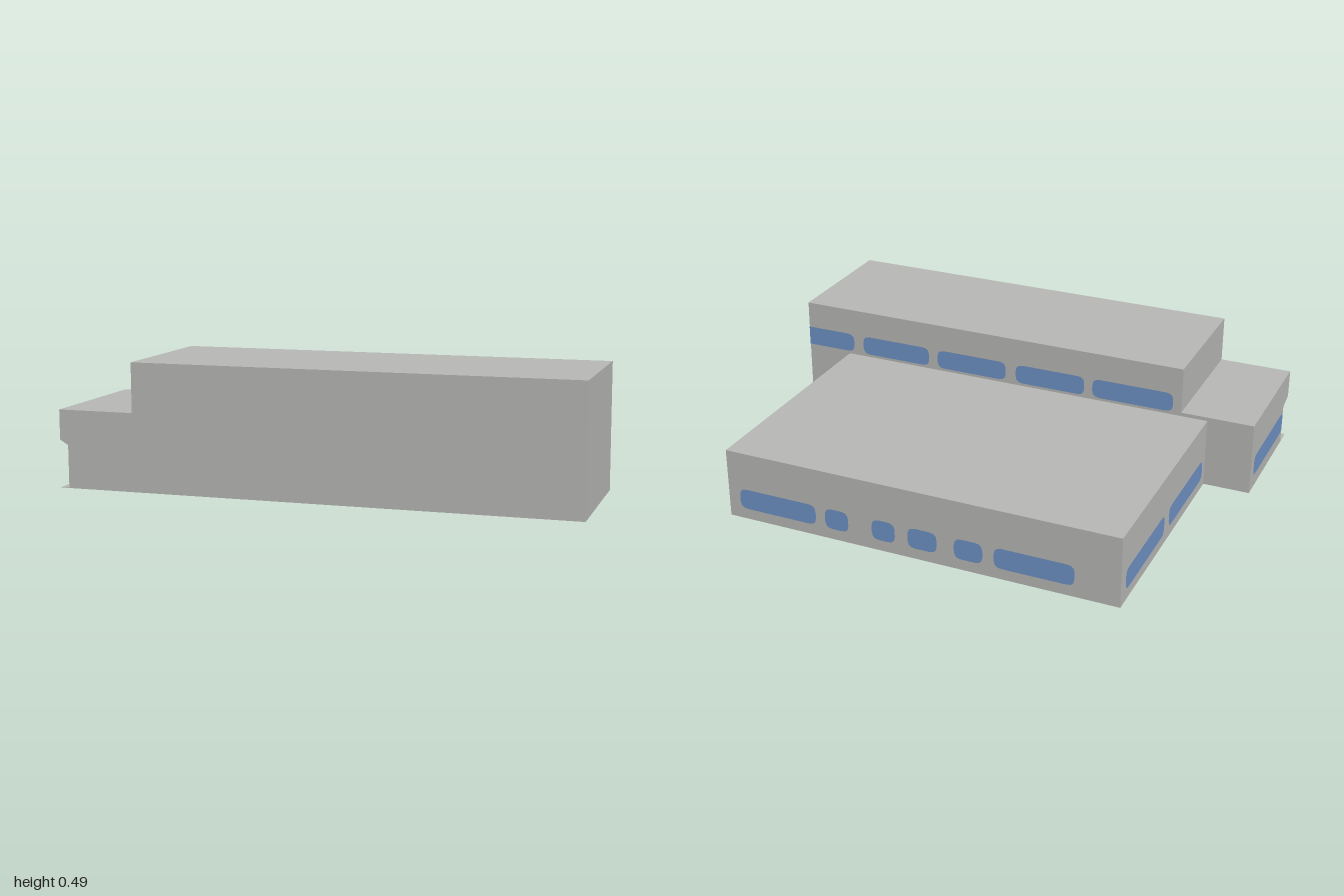
import * as THREE from 'three';
import { ConvexGeometry } from 'three/addons/geometries/ConvexGeometry.js';

const wall = new THREE.MeshStandardMaterial({ color: 0xb8b8b6 });
wall.name = 'concrete grey';
const glass = new THREE.MeshStandardMaterial({ color: 0x6f93c6 });
glass.name = 'window blue';

// Convex block from corner points
function block(name, points) {
  const mesh = new THREE.Mesh(new ConvexGeometry(points.map((p) => new THREE.Vector3(...p))), wall);
  mesh.name = name;
  return mesh;
}

// Axis-aligned box given by its limits
function box(name, x0, x1, y0, y1, z0, z1) {
  const mesh = new THREE.Mesh(new THREE.BoxGeometry(x1 - x0, y1 - y0, z1 - z0), wall);
  mesh.position.set((x0 + x1) / 2, (y0 + y1) / 2, (z0 + z1) / 2);
  mesh.name = name;
  return mesh;
}

// Window outline with rounded corners; the start edge may stay square
function windowShape(a, b, y0, y1, squareStart) {
  const r = 0.03, s = squareStart ? 0 : r;
  const shape = new THREE.Shape();
  shape.moveTo(a + s, y0);
  shape.lineTo(b - r, y0);
  shape.quadraticCurveTo(b, y0, b, y0 + r);
  shape.lineTo(b, y1 - r);
  shape.quadraticCurveTo(b, y1, b - r, y1);
  shape.lineTo(a + s, y1);
  if (s) shape.quadraticCurveTo(a, y1, a, y1 - s);
  shape.lineTo(a, y0 + s);
  if (s) shape.quadraticCurveTo(a, y0, a + s, y0);
  return shape;
}

// Row of windows; spans run along the wall's own horizontal axis
function windowRow(name, spans, y0, y1, squareStart = false) {
  const shapes = spans.map(([a, b], i) => windowShape(a, b, y0, y1, squareStart && i === 0));
  const mesh = new THREE.Mesh(new THREE.ShapeGeometry(shapes, 3), glass);
  mesh.name = name;
  return mesh;
}

export function createModel() {
  const model = new THREE.Group();
  model.name = 'building';
  const front = 0.77, mid = 0.21, back = -0.775, gap = 0.002;

  // Main volumes
  model.add(box('tallFrontHall', -0.7, 1, 0, 0.49, mid, front));
  model.add(box('lowRearHall', -0.81, 0.805, 0, 0.285, back, mid));

  // Low side wing, its front corner cut away at ground level
  const cutX = -0.967, cutZ = 0.7, cutY = 0.165, peakY = 0.185;
  const plan = [[-0.7, mid], [-1, mid], [-1, cutZ], [cutX, front], [-0.7, front]];
  model.add(block('wingLower', [0, cutY].flatMap((y) => plan.map(([x, z]) => [x, y, z]))));
  model.add(block('wingUpper', [
    ...plan.map(([x, z]) => [x, cutY, z]),
    [-1, peakY, front],
    [-0.7, 0.3, mid], [-1, 0.3, mid], [-1, 0.3, front], [-0.7, 0.3, front],
  ]));

  // Thin threshold under the cut corner
  const sill = new THREE.Shape([[-1, -cutZ], [-1, -front], [cutX, -front]].map((p) => new THREE.Vector2(...p)));
  const threshold = new THREE.Mesh(
    new THREE.ExtrudeGeometry(sill, { depth: 0.002, bevelEnabled: false }).rotateX(-Math.PI / 2), wall);
  threshold.name = 'cornerThreshold';
  model.add(threshold);

  // Rear-facing windows (local horizontal axis is -x)
  const upper = windowRow('upperRearWindows',
    [[-1, -0.78], [-0.735, -0.42], [-0.38, -0.065], [-0.02, 0.285], [0.32, 0.665]], 0.297, 0.378, true);
  upper.position.z = mid - gap;
  const lower = windowRow('lowerRearWindows',
    [[-0.755, -0.42], [-0.38, -0.28], [-0.18, -0.083], [-0.03, 0.09], [0.16, 0.275], [0.32, 0.635]], 0.045, 0.13);
  lower.position.z = back - gap;
  for (const row of [upper, lower]) row.rotation.y = Math.PI;

  // Windows on the -x side (local horizontal axis is +z)
  const hallSide = windowRow('hallSideWindows', [[-0.73, -0.305], [-0.25, 0.17]], 0.045, 0.13);
  hallSide.position.x = -0.81 - gap;
  const wingSide = windowRow('wingSideWindow', [[0.25, 0.69]], 0.055, 0.145);
  wingSide.position.x = -1 - gap;
  for (const row of [hallSide, wingSide]) row.rotation.y = -Math.PI / 2;

  model.add(upper, lower, hallSide, wingSide);
  return model;
}
